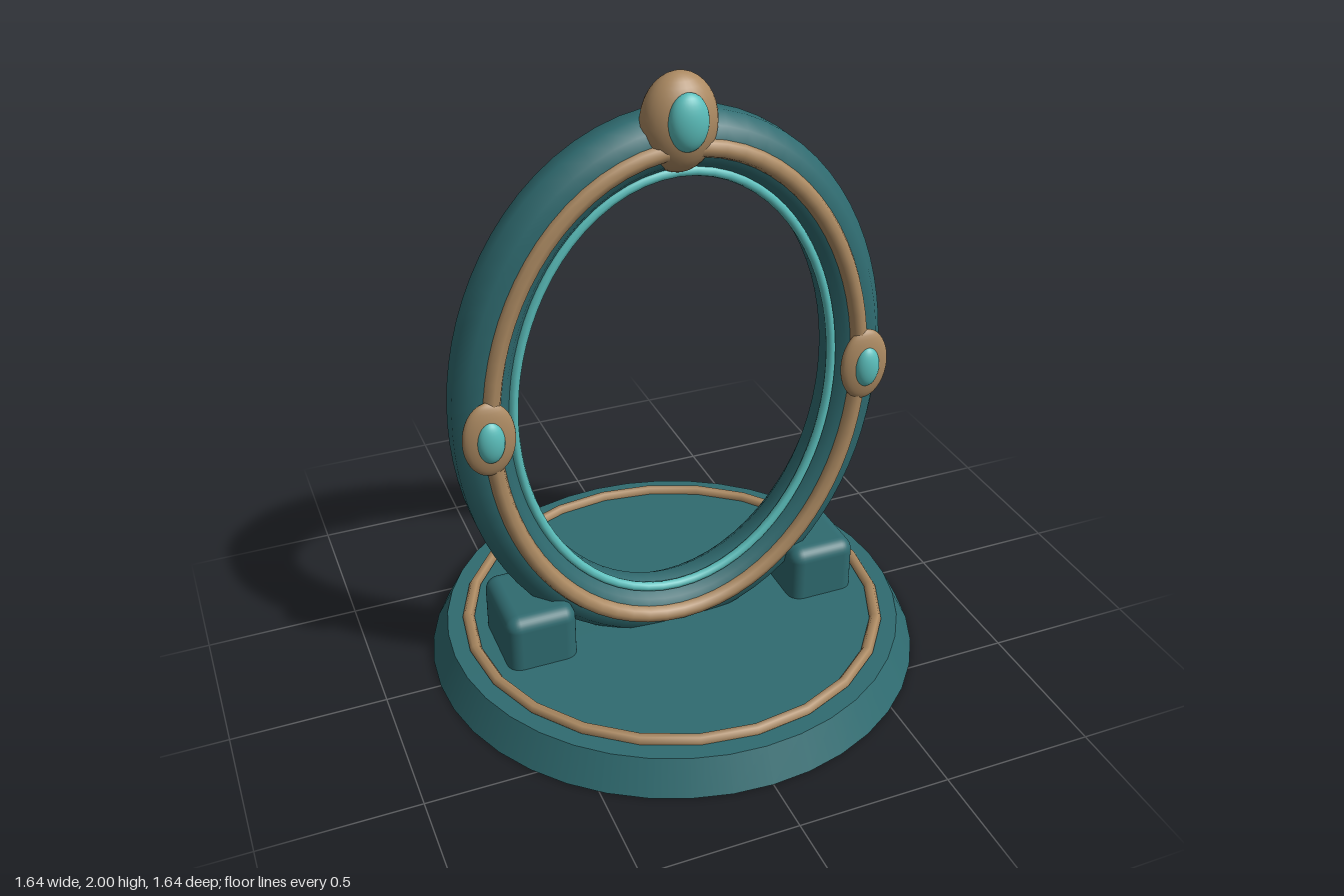
import * as THREE from 'three';
import { RoundedBoxGeometry } from 'three/addons/geometries/RoundedBoxGeometry.js';

const teal = new THREE.MeshStandardMaterial({ color: 0x2f6b70 });
const gold = new THREE.MeshStandardMaterial({ color: 0xac8a62 });
const aqua = new THREE.MeshStandardMaterial({ color: 0x5bbfbc });
const CENTRE_Y = 0.96;

// Upright ellipse used as the path of every hoop
class EllipsePath extends THREE.Curve {
  constructor(rx, ry) {
    super();
    this.rx = rx;
    this.ry = ry;
  }
  getPoint(t, target = new THREE.Vector3()) {
    const a = t * Math.PI * 2;
    return target.set(this.rx * Math.cos(a), this.ry * Math.sin(a), 0);
  }
}

export function createModel() {
  const model = new THREE.Group();

  const add = (name, geometry, material, x, y, z) => {
    const mesh = new THREE.Mesh(geometry, material);
    mesh.name = name;
    mesh.position.set(x, y, z);
    model.add(mesh);
    return mesh;
  };
  const hoop = (name, material, rx, ry, tube, z, sides) =>
    add(name, new THREE.TubeGeometry(new EllipsePath(rx, ry), 72, tube, sides, true), material, 0, CENTRE_Y, z);
  const ellipsoid = (name, material, x, y, z, rx, ry, rz) =>
    add(name, new THREE.SphereGeometry(1, 28, 18), material, x, y, z).scale.set(rx, ry, rz);

  // Round base with sloping rim and inlaid trim
  add('base', new THREE.CylinderGeometry(0.765, 0.82, 0.107, 40), teal, 0, 0.0535, 0);
  const trim = add('baseTrim', new THREE.TorusGeometry(0.693, 0.02, 6, 24), gold, 0, 0.112, 0);
  trim.rotation.x = -Math.PI / 2;

  // Oval frame with raised trim and inner rim
  hoop('frame', teal, 0.627, 0.827, 0.098, 0, 10);
  hoop('frameTrim', gold, 0.616, 0.82, 0.029, 0.088, 8);
  hoop('innerRim', aqua, 0.535, 0.737, 0.016, 0.05, 8);

  // Crest at the top
  ellipsoid('crest', gold, 0, 1.85, 0.053, 0.118, 0.15, 0.086);
  ellipsoid('crestGem', aqua, 0, 1.87, 0.125, 0.062, 0.087, 0.04);

  // Mirrored side ornaments and feet
  for (const [side, s] of [['left', 1], ['right', -1]]) {
    ellipsoid(side + 'Mount', gold, s * 0.628, 0.963, 0.105, 0.083, 0.125, 0.03);
    ellipsoid(side + 'Gem', aqua, s * 0.628, 0.963, 0.125, 0.043, 0.07, 0.03);
    add(side + 'Foot', new RoundedBoxGeometry(0.235, 0.245, 0.304, 4, 0.045), teal, s * 0.502, 0.173, 0);
  }

  return model;
}
